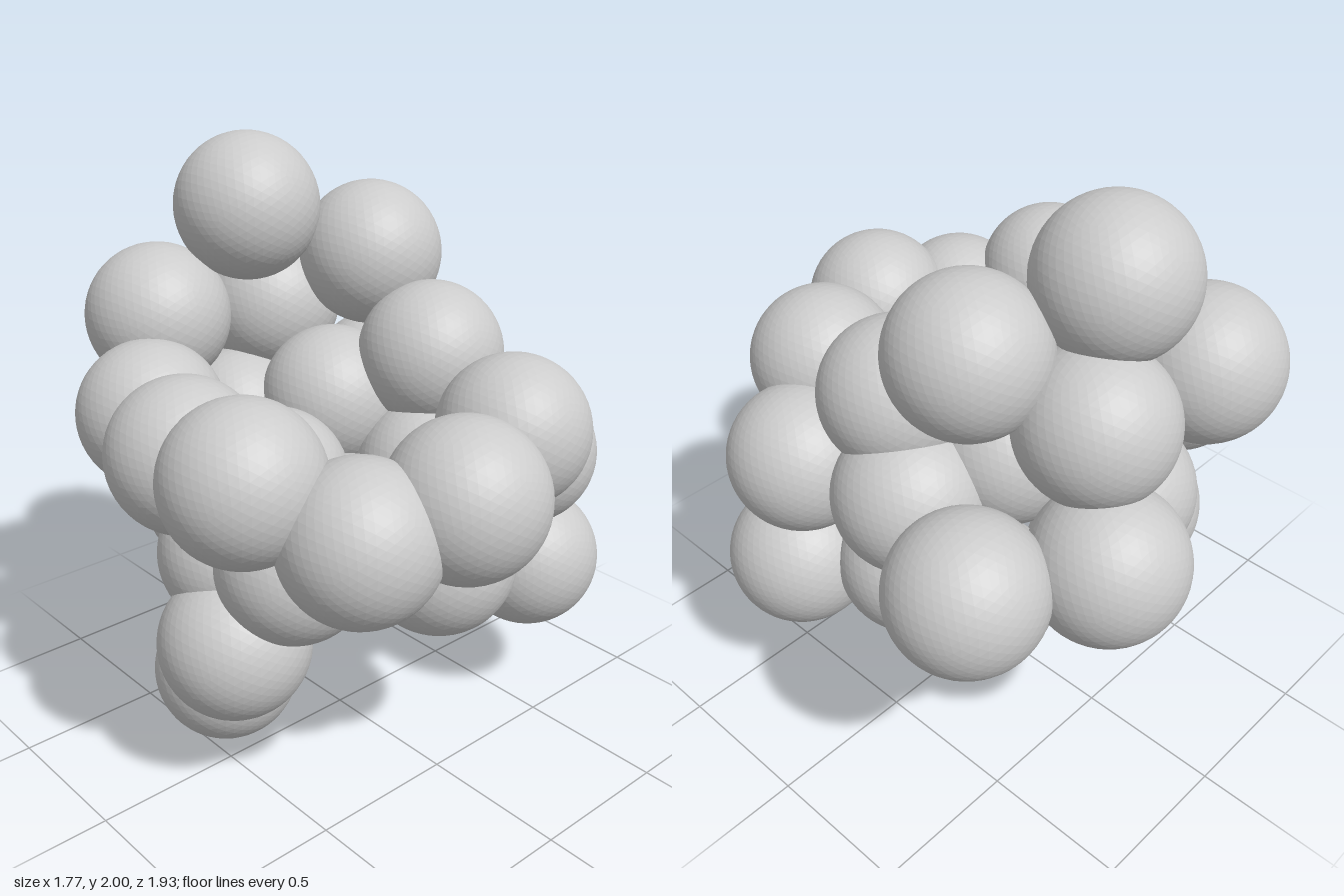
import * as THREE from 'three';

// Cluster of equal, overlapping balls: each row is the centre [x, y, z]
const RADIUS = 0.25;
const CLUSTER = {
  crownBall: [[0.01, 1.75, -0.49], [0.38, 1.57, -0.27], [0.17, 1.37, -0.575], [-0.28, 1.39, -0.63]],
  rimBall: [
    [0.37, 1.28, 0.05], [0.28, 1.16, 0.51], [-0.145, 1.125, 0.71], [-0.44, 1.04, 0.585],
    [-0.64, 1.19, 0.31], [-0.585, 1.14, -0.055], [-0.47, 1.14, -0.41],
  ],
  backBall: [[0.265, 0.99, -0.72], [0.635, 0.99, -0.505], [-0.03, 0.98, -0.52], [-0.22, 0.75, -0.42], [0.42, 0.74, -0.34]],
  sideBall: [[0.46, 1.01, -0.09], [0.53, 0.965, 0.35], [-0.41, 0.82, 0.25], [-0.43, 0.76, -0.03]],
  coreBall: [[-0.2, 0.92, -0.1], [0.16, 1.1, -0.22], [-0.05, 0.77, 0.1], [0.28, 0.9, 0.14], [-0.01, 0.8, 0.48]],
  lowerBall: [[0.565, 0.56, 0.365], [0.37, 0.61, 0.02], [-0.535, 0.525, 0.1], [-0.395, 0.25, -0.148]],
};

export function createModel() {
  const model = new THREE.Group();
  model.name = 'ballCluster';
  const material = new THREE.MeshStandardMaterial({ color: 0xcccccc, flatShading: true });
  const ball = new THREE.IcosahedronGeometry(RADIUS, 9);

  for (const [name, centres] of Object.entries(CLUSTER)) {
    const part = new THREE.Group();
    part.name = name + 's';
    centres.forEach((centre, i) => {
      const mesh = new THREE.Mesh(ball, material);
      mesh.name = `${name}${i + 1}`;
      mesh.position.set(...centre);
      part.add(mesh);
    });
    model.add(part);
  }
  return model;
}
